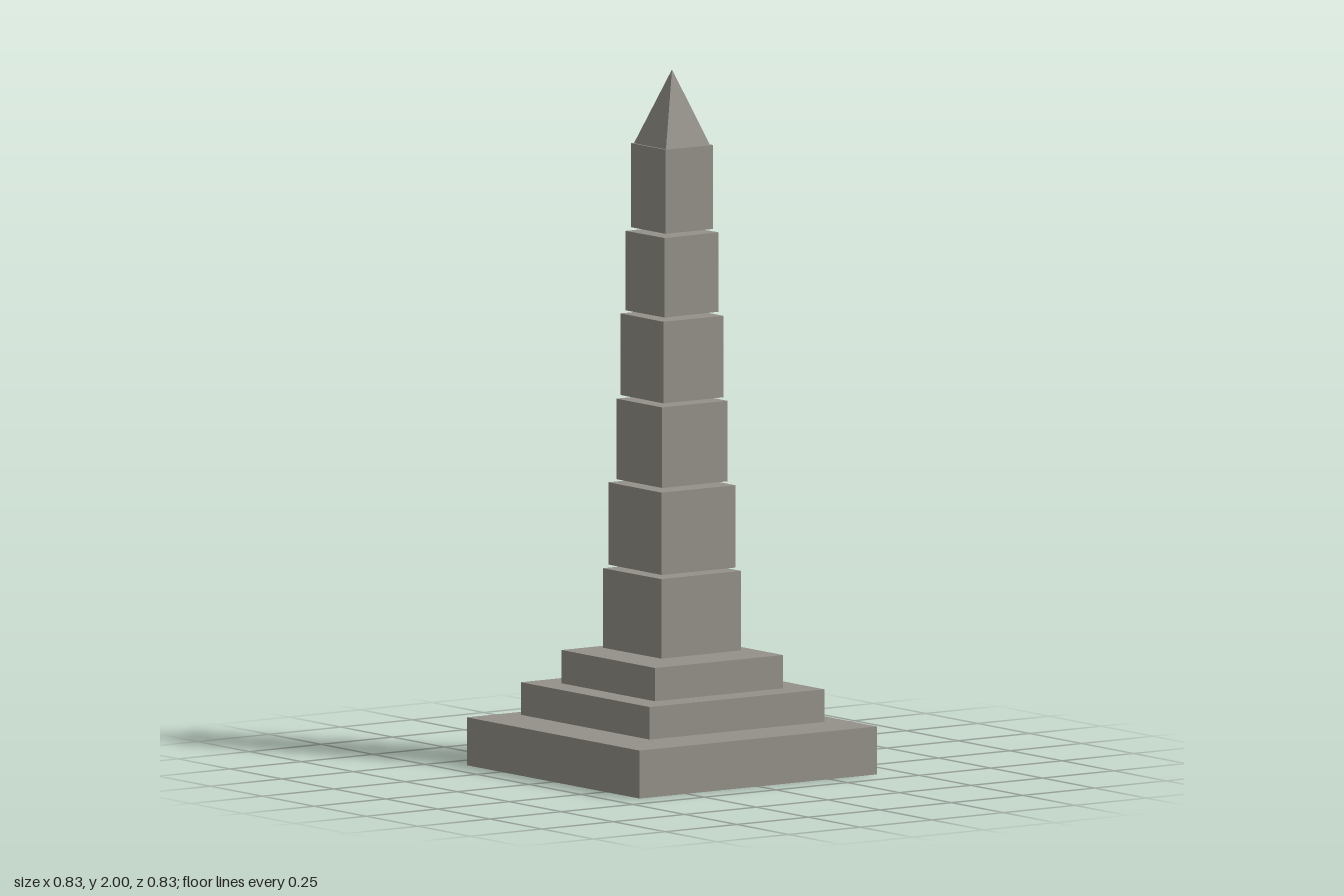
import * as THREE from 'three';

export function createModel() {
  const model = new THREE.Group();
  const stone = new THREE.MeshStandardMaterial({ color: 0x949189, side: THREE.DoubleSide });
  stone.name = 'stone';

  // Hollow block, open underneath
  function block(name, [width, depth, bottom, top, turn = 0, z = 0]) {
    const geometry = new THREE.BoxGeometry(width, top - bottom, depth);
    const index = Array.from(geometry.index.array);
    index.splice(18, 6); // drop the underside
    geometry.setIndex(index);
    geometry.clearGroups();
    const mesh = new THREE.Mesh(geometry, stone);
    mesh.name = name;
    mesh.position.set(0, (bottom + top) / 2, z);
    mesh.rotation.y = turn;
    model.add(mesh);
  }

  // Stepped base: width, depth, bottom, top, turn, z offset
  [
    [0.83, 0.83, 0, 0.137],
    [0.62, 0.61, 0.147, 0.24, 0, -0.002],
    [0.45, 0.447, 0.24, 0.335, 0, -0.001],
  ].forEach((step, i) => block(`baseStep${i + 1}`, step));

  // Tapering shaft of slightly twisted blocks with thin gaps between them
  [
    [0.276, 0.281, 0.345, 0.572, 0.014],
    [0.258, 0.258, 0.582, 0.817, -0.008],
    [0.22, 0.229, 0.827, 1.057, 0.002],
    [0.208, 0.208, 1.067, 1.3, -0.01],
    [0.182, 0.191, 1.31, 1.537, 0.022],
    [0.166, 0.166, 1.547, 1.787, 0.002],
  ].forEach((part, i) => block(`shaftBlock${i + 1}`, part));

  // Pyramid cap
  const half = 0.077;
  const height = 2 - 1.787;
  const capGeometry = new THREE.ConeGeometry(half * Math.SQRT2, height, 4, 1, true)
    .rotateY(Math.PI / 4).toNonIndexed();
  capGeometry.computeVertexNormals();
  const cap = new THREE.Mesh(capGeometry, stone);
  cap.name = 'pyramidCap';
  cap.position.y = 2 - height / 2;
  model.add(cap);

  return model;
}
